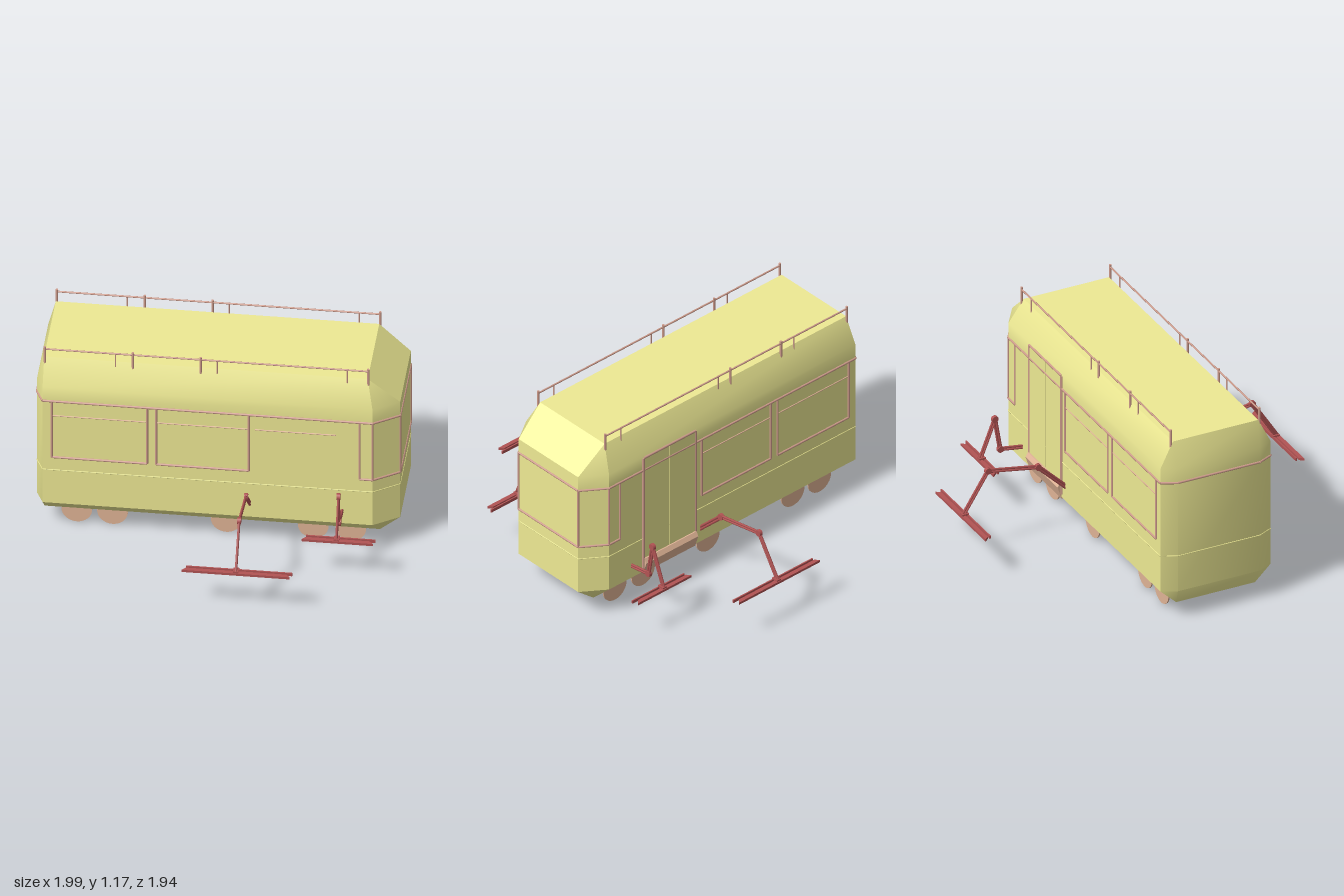
import * as THREE from 'three';
import { toCreasedNormals } from 'three/addons/utils/BufferGeometryUtils.js';

const mat = (color) => new THREE.MeshStandardMaterial({ color });
const yellow = mat(0xeeea94), pink = mat(0xcf9c8c), peach = mat(0xe0b496), red = mat(0xb25454);
const V = (x, y, z) => new THREE.Vector3(x, y, z);

// Plan outline of the shell, counter-clockwise seen from above
const PLAN = [[-0.95, 0.335], [0.85, 0.335], [0.99, 0.24], [0.99, -0.24],
  [0.85, -0.335], [-0.95, -0.335], [-0.99, -0.25], [-0.99, 0.25]];

// Outline whose chamfers collapse to the corners of a rectangle
const rectPlan = (x0, x1, z) => [[x0, z], [x1, z], [x1, z], [x1, -z], [x1, -z], [x0, -z], [x0, -z], [x0, z]];

function loft(levels) {
  const pos = [];
  const tri = (a, b, c) => {
    const area = b.clone().sub(a).cross(c.clone().sub(a)).length();
    if (area > 1e-7) for (const p of [a, b, c]) pos.push(p.x, p.y, p.z);
  };
  const rings = levels.map(([y, plan]) => plan.map(([x, z]) => V(x, y, z)));
  for (let k = 0; k < rings.length - 1; k++) {
    const lo = rings[k], hi = rings[k + 1];
    lo.forEach((a, i) => {
      const j = (i + 1) % lo.length;
      tri(a, lo[j], hi[j]);
      tri(a, hi[j], hi[i]);
    });
  }
  const bottom = rings[0], top = rings[rings.length - 1];
  for (let i = 1; i < top.length - 1; i++) {
    tri(top[0], top[i], top[i + 1]);
    tri(bottom[0], bottom[i + 1], bottom[i]);
  }
  const g = new THREE.BufferGeometry();
  g.setAttribute('position', new THREE.Float32BufferAttribute(pos, 3));
  return toCreasedNormals(g, 0.52);
}

function add(parent, name, geometry, material, x = 0, y = 0, z = 0) {
  const m = new THREE.Mesh(geometry, material);
  m.name = name;
  m.position.set(x, y, z);
  parent.add(m);
  return m;
}

function addGroup(parent, name) {
  const g = new THREE.Group();
  g.name = name;
  parent.add(g);
  return g;
}

// Round rod between two points
function rod(parent, name, a, b, r, material, sides = 8) {
  const mid = a.clone().add(b).multiplyScalar(0.5);
  const m = add(parent, name, new THREE.CylinderGeometry(r, r, a.distanceTo(b), sides), material, mid.x, mid.y, mid.z);
  m.quaternion.setFromUnitVectors(V(0, 1, 0), b.clone().sub(a).normalize());
  return m;
}

function chain(parent, name, points, r, material) {
  for (let i = 0; i < points.length - 1; i++) rod(parent, name, points[i], points[i + 1], r, material);
}

// Folding leg with a ski; path holds [z, y] joints, s is the side
function skiLeg(parent, s, x, path, x0, x1) {
  const leg = addGroup(parent, 'skiLeg');
  const pts = path.map(([z, y]) => V(x, y, z * s));
  for (let i = 0; i < pts.length - 1; i++) {
    const d = pts[i + 1].clone().sub(pts[i]);
    const off = V(0, -d.z, d.y).normalize().multiplyScalar(0.007);
    for (const k of [-1, 1]) {
      const o = off.clone().multiplyScalar(k);
      rod(leg, 'legStrut', pts[i].clone().add(o), pts[i + 1].clone().add(o), 0.007, red, 6);
    }
    if (i > 0) {
      add(leg, 'legJoint', new THREE.CylinderGeometry(0.019, 0.019, 0.02, 14), red, x, pts[i].y, pts[i].z)
        .rotation.z = Math.PI / 2;
    }
  }
  const foot = pts[pts.length - 1];
  // Ski with slanted ends, and a thin rail beside it
  const shape = new THREE.Shape();
  shape.moveTo(x0, 0.012);
  shape.lineTo(x1 - 0.01, 0.012);
  shape.lineTo(x1 - 0.03, -0.012);
  shape.lineTo(x0 + 0.02, -0.012);
  const ski = new THREE.ExtrudeGeometry(shape, { depth: 0.014, bevelEnabled: false });
  ski.rotateX(-Math.PI / 2);
  add(leg, 'ski', ski, red, 0, 0.236, foot.z + s * 0.004).scale.z = -s;
  add(leg, 'skiRail', new THREE.BoxGeometry(x1 - x0 - 0.02, 0.018, 0.008), red,
    (x0 + x1) / 2 + 0.01, 0.243, foot.z - s * 0.022);
  add(leg, 'skiBracket', new THREE.BoxGeometry(0.03, 0.014, 0.04), red, x, 0.252, foot.z - s * 0.008);
}

export function createModel() {
  const model = new THREE.Group();
  model.name = 'tram';

  // Shell
  add(model, 'body', loft([
    [0.09, rectPlan(-0.95, 0.88, 0.24)], [0.18, PLAN], [0.855, PLAN], [0.945, PLAN],
    [1.095, rectPlan(-0.95, 0.815, 0.26)],
  ]), yellow);

  // Trim lines around the shell
  const ring = (y) => [...PLAN, PLAN[0]].map(([x, z]) => V(x, y, z));
  chain(model, 'upperTrim', ring(0.855), 0.007, pink);
  chain(model, 'beltLine', ring(0.4), 0.003, yellow);

  // Wrap-around nose window
  const nose = addGroup(model, 'noseWindow');
  const nosePlan = [[0.78, 0.335], ...PLAN.slice(1, 5), [0.77, -0.335]];
  chain(nose, 'noseSill', nosePlan.map(([x, z]) => V(x, 0.48, z)), 0.007, pink);
  for (const [x, z] of nosePlan) rod(nose, 'nosePost', V(x, 0.48, z), V(x, 0.855, z), 0.006, pink);

  // Side windows
  for (const s of [1, -1]) {
    const z = s * 0.335;
    for (const [x0, x1] of [[-0.9, -0.38], [-0.33, 0.175]]) {
      const win = addGroup(model, 'sideWindow');
      chain(win, 'windowFrame', [V(x0, 0.855, z), V(x0, 0.485, z), V(x1, 0.485, z), V(x1, 0.855, z)], 0.007, pink);
      rod(win, 'windowBar', V(x0, 0.76, z), V(x1, 0.76, z), 0.004, peach);
    }
  }
  rod(model, 'windowBar', V(0.21, 0.76, 0.335), V(0.65, 0.76, 0.335), 0.004, peach);

  // Double door with step on the far side
  const door = addGroup(model, 'door');
  chain(door, 'doorFrame', [V(0.22, 0.2, -0.335), V(0.22, 0.935, -0.335), V(0.6, 0.935, -0.335), V(0.6, 0.2, -0.335)], 0.008, pink);
  for (const x of [0.317, 0.503])
    add(door, 'doorLeaf', new THREE.BoxGeometry(0.182, 0.66, 0.006), yellow, x, 0.6, -0.335);
  const wedge = new THREE.Shape();
  wedge.moveTo(0.32, 0.27);
  wedge.lineTo(0.345, 0.27);
  wedge.lineTo(0.36, 0.245);
  wedge.lineTo(0.335, 0.17);
  wedge.lineTo(0.315, 0.17);
  const step = new THREE.ExtrudeGeometry(wedge, { depth: 0.38, bevelEnabled: false });
  step.rotateY(Math.PI / 2);
  add(door, 'doorStep', step, peach, 0.22, 0, 0);

  // Wheels
  for (const z of [0.236, -0.236])
    for (const x of [-0.775, -0.58, 0.04, 0.515, 0.72])
      add(model, 'wheel', new THREE.CylinderGeometry(0.084, 0.084, 0.008, 32), peach, x, 0.084, z)
        .rotation.x = Math.PI / 2;

  // Roof railings
  for (const z of [0.27, -0.27]) {
    const rail = addGroup(model, 'roofRailing');
    rod(rail, 'railBar', V(-0.945, 1.153, z), V(0.82, 1.153, z), 0.005, pink);
    for (const x of [-0.945, -0.465, -0.095, 0.82]) rod(rail, 'railPost', V(x, 1.06, z), V(x, 1.168, z), 0.007, pink);
    for (const x of [-0.56, -0.005, 0.705]) rod(rail, 'thinRailPost', V(x, 1.06, z), V(x, 1.153, z), 0.004, pink);
  }

  // Ski legs
  for (const s of [1, -1]) {
    skiLeg(model, s, 0.18, [[0.32, 0.255], [0.5, 0.43], [0.805, 0.485], [0.955, 0.25]], -0.115, 0.485);
    skiLeg(model, s, 0.685, [[0.32, 0.258], [0.47, 0.28], [0.503, 0.475], [0.592, 0.25]], 0.495, 0.895);
  }

  return model;
}
